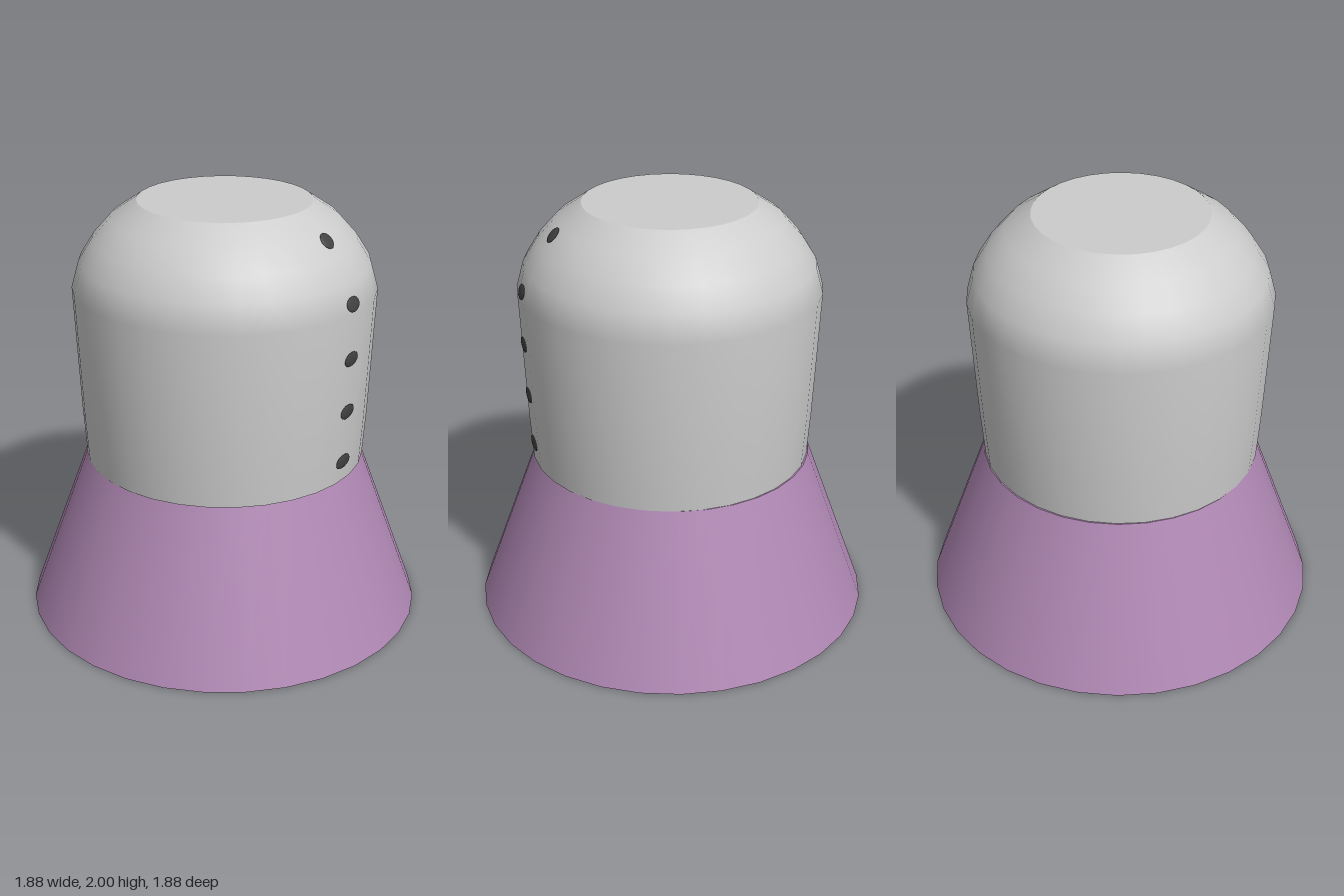
import * as THREE from 'three';

const SIDES = 32;

export function createModel() {
  const model = new THREE.Group();
  const purple = new THREE.MeshStandardMaterial({ color: 0xb088b4 });
  purple.name = 'purple';
  const grey = new THREE.MeshStandardMaterial({ color: 0xcccccc });
  grey.name = 'lightGrey';
  const dark = new THREE.MeshStandardMaterial({ color: 0x424242 });
  dark.name = 'darkGrey';

  const add = (name, geometry, material, parent = model) => {
    const mesh = new THREE.Mesh(geometry, material);
    mesh.name = name;
    parent.add(mesh);
    return mesh;
  };

  // Flared skirt with a flat underside
  const skirt = add('flaredBase', new THREE.CylinderGeometry(0.655, 0.94, 0.78, SIDES), purple);
  skirt.position.y = 0.39;
  skirt.rotation.y = 0.02;

  // Slightly widening body with a rounded shoulder, closed by a flat top
  const upper = new THREE.Group();
  upper.name = 'upperBody';
  upper.position.set(-0.004, 0, 0.008);
  model.add(upper);
  const profile = [
    [0.657, 0.78], [0.672, 1.0], [0.7, 1.6], [0.665, 1.725],
    [0.602, 1.825], [0.517, 1.92], [0.398, 2.0],
  ].map(([r, y]) => new THREE.Vector2(r, y));
  add('body', new THREE.LatheGeometry(profile, SIDES), grey, upper);
  const top = add('flatTop', new THREE.CircleGeometry(0.398, SIDES), grey, upper);
  top.rotation.x = -Math.PI / 2;
  top.position.y = 2;

  // Row of thin oval buttons lying on the front surface
  const buttons = new THREE.Group();
  buttons.name = 'buttons';
  upper.add(buttons);
  const rows = [
    [0.88, 0.056, 0.034], [1.13, 0.054, 0.034], [1.385, 0.053, 0.034],
    [1.64, 0.05, 0.034], [1.895, 0.04, 0.04],
  ];
  for (const [y, halfWidth, halfHeight] of rows) {
    const i = profile.findIndex((p) => p.y > y);
    const a = profile[i - 1], b = profile[i];
    const radius = THREE.MathUtils.mapLinear(y, a.y, b.y, a.x, b.x);
    const turn = Math.asin(0.049 / radius);
    const tilt = Math.atan2(a.x - b.x, b.y - a.y);
    const button = add('button', new THREE.SphereGeometry(1, 16, 8), dark, buttons);
    button.scale.set(halfWidth, halfHeight, 0.007);
    button.rotation.set(-tilt, turn, 0, 'YXZ');
    button.position.set(radius * Math.sin(turn), y, radius * Math.cos(turn));
  }
  return model;
}
